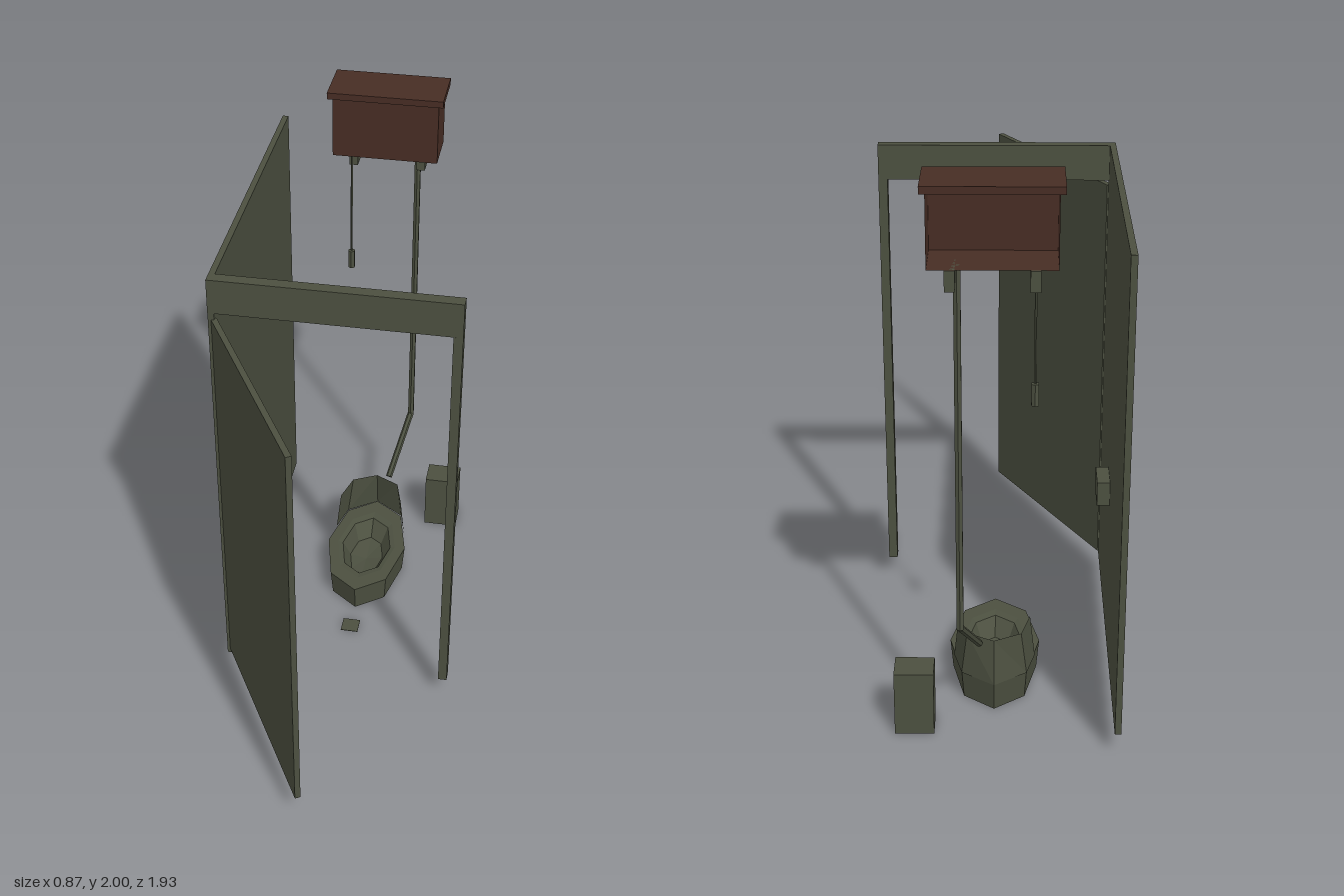
import * as THREE from 'three';

export function createModel() {
  const group = new THREE.Group();
  const look = { flatShading: true, side: THREE.DoubleSide };
  const green = new THREE.MeshStandardMaterial({ name: 'olive grey', color: 0x4c5040, ...look });
  const brown = new THREE.MeshStandardMaterial({ name: 'dark brown', color: 0x472d24, ...look });

  const add = (name, geometry, material = green) => {
    const mesh = new THREE.Mesh(geometry, material);
    mesh.name = name;
    group.add(mesh);
    return mesh;
  };
  // Box given by its limits on each axis
  const box = (name, [x0, x1], [y0, y1], [z0, z1], material) => {
    const mesh = add(name, new THREE.BoxGeometry(x1 - x0, y1 - y0, z1 - z0), material);
    mesh.position.set((x0 + x1) / 2, (y0 + y1) / 2, (z0 + z1) / 2);
    return mesh;
  };
  // Straight rod between two points
  const rod = (name, a, b, radius, sides) => {
    const from = new THREE.Vector3(...a), to = new THREE.Vector3(...b);
    const dir = to.clone().sub(from);
    const mesh = add(name, new THREE.CylinderGeometry(radius, radius, dir.length(), sides));
    mesh.position.copy(from).add(to).multiplyScalar(0.5);
    mesh.quaternion.setFromUnitVectors(new THREE.Vector3(0, 1, 0), dir.normalize());
    return mesh;
  };

  // Stall: side wall, door frame and open door
  box('sideWall', [-0.433, -0.411], [0.08, 1.79], [-0.963, 0.27]);
  box('frameHeader', [-0.433, 0.433], [1.66, 1.79], [0.228, 0.272]);
  box('framePost', [0.4, 0.433], [0.08, 1.66], [0.228, 0.272]);
  const door = add('door', new THREE.BoxGeometry(0.81, 1.535, 0.021));
  door.position.set(-0.2125, 0.866, 0.612);
  door.rotation.y = -Math.PI / 3;

  // Paper holder, bin and floor plate
  box('paperHolder', [-0.411, -0.365], [0.62, 0.71], [-0.338, -0.21]);
  box('bin', [0.204, 0.34], [0, 0.24], [-0.853, -0.745]);
  box('floorPlate', [-0.034, 0.034], [0, 0.002], [-0.08, -0.012]);

  // High cistern, open at the back, with lid and brackets
  const cistern = box('cistern', [-0.2, 0.2], [1.738, 1.975], [-0.957, -0.773], brown);
  cistern.geometry.setIndex([...cistern.geometry.index.array].slice(0, 30));
  cistern.geometry.clearGroups();
  box('cisternLid', [-0.218, 0.218], [1.975, 2], [-0.964, -0.756], brown);
  for (const x of [-0.13, 0.13]) {
    box('bracket', [x - 0.016, x + 0.016], [1.67, 1.738], [-0.963, -0.837]);
  }

  // Flush pipe
  rod('pipeUpper', [0.109, 1.738, -0.911], [0.109, 0.46, -0.911], 0.013, 6);
  rod('pipeLower', [0.109, 0.465, -0.911], [0.05, 0.27, -0.7], 0.013, 6);

  // Pull chain and handle
  rod('chain', [-0.133, 1.738, -0.81], [-0.133, 1.3, -0.81], 0.004, 4);
  rod('chainHandle', [-0.133, 1.305, -0.81], [-0.133, 1.23, -0.81], 0.014, 6);

  // Eight-sided oval bowl with a hollow inside
  const profile = [[0.94, 0], [1, 0.11], [0.74, 0.11], [0.62, 0.105], [0.42, 0.045], [0, 0.03]]
    .map(([r, y]) => new THREE.Vector2(r, y));
  const bowl = add('bowl', new THREE.LatheGeometry(profile, 8));
  bowl.scale.set(0.162, 1, 0.29);
  bowl.position.z = -0.43;

  // Raised guard around the back of the bowl, leaning inwards
  const bottom = [[0.145, -0.525], [0.115, -0.64], [0, -0.72]];
  const top = [[0.127, -0.53], [0.095, -0.645], [0, -0.693]];
  const ring = (half) => [...half, ...half.slice(0, 2).reverse().map(([x, z]) => [-x, z])];
  const low = ring(bottom), high = ring(top);
  const points = [], faces = [];
  low.forEach(([x, z], i) => {
    points.push(x, 0.11, z, high[i][0], 0.275, high[i][1]);
    if (i < low.length - 1) {
      const a = i * 2;
      faces.push(a, a + 2, a + 1, a + 1, a + 2, a + 3);
    }
  });
  const guard = new THREE.BufferGeometry();
  guard.setAttribute('position', new THREE.Float32BufferAttribute(points, 3));
  guard.setIndex(faces);
  guard.computeVertexNormals();
  add('backGuard', guard);

  return group;
}
